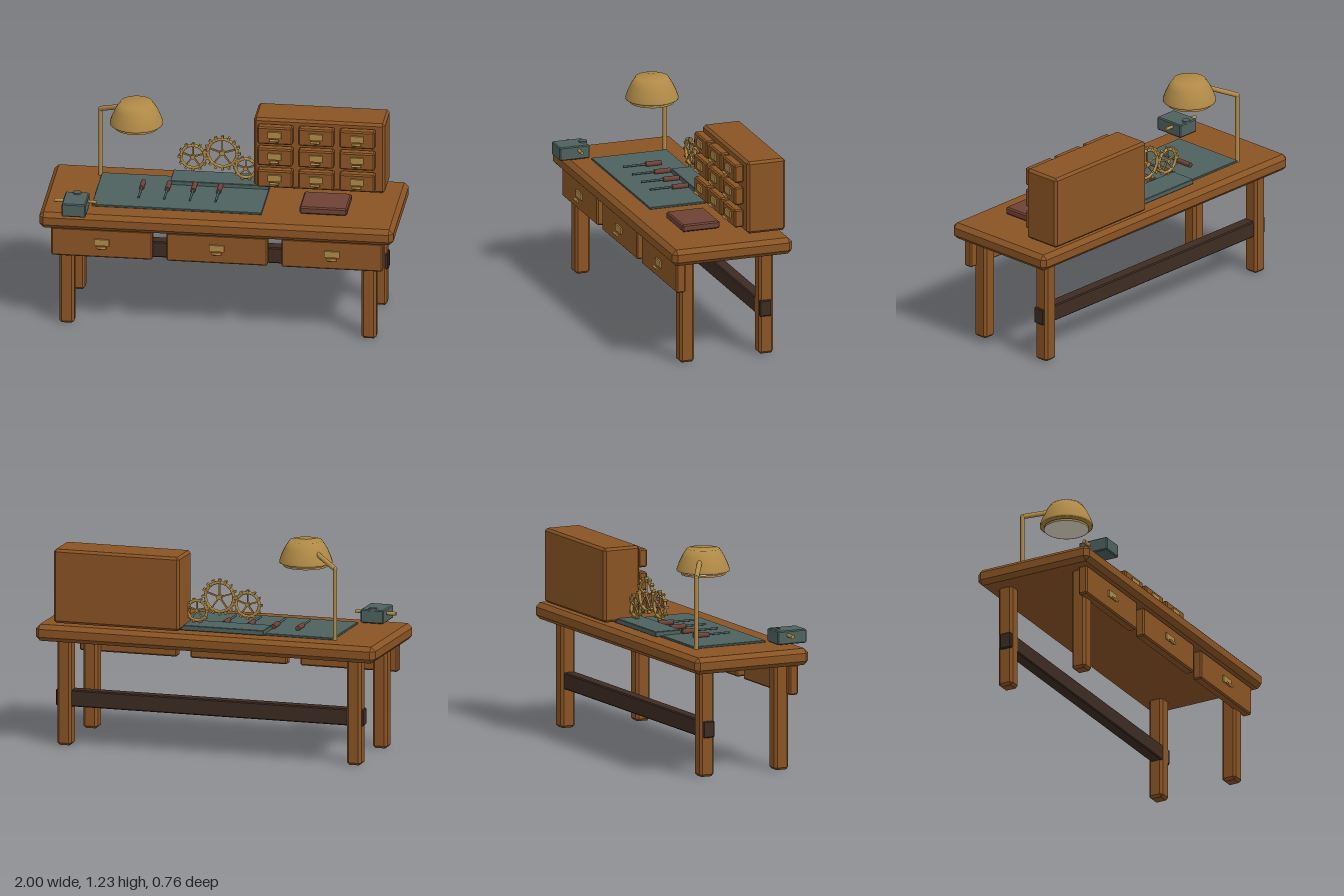
import * as THREE from 'three';
import { ConvexGeometry } from 'three/addons/geometries/ConvexGeometry.js';

const mat = (name, color) => {
  const m = new THREE.MeshStandardMaterial({ color });
  m.name = name;
  return m;
};

export function createModel() {
  const root = new THREE.Group();
  root.name = 'workbench';
  const wood = mat('wood', 0x8a5424);
  const darkWood = mat('dark wood', 0x3d2b22);
  const brass = mat('brass', 0xb08a47);
  const steel = mat('steel', 0x4e625e);
  const leather = mat('leather', 0x6e4236);
  const glow = mat('lamp glass', 0xf2ead6);
  const shadeBrass = mat('lamp shade brass', 0xb08a47);
  shadeBrass.side = THREE.DoubleSide;

  const add = (name, geo, material, parent = root) => {
    const m = new THREE.Mesh(geo, material);
    m.name = name;
    parent.add(m);
    return m;
  };
  const group = (name, x = 0, y = 0, z = 0) => {
    const g = new THREE.Group();
    g.name = name;
    g.position.set(x, y, z);
    root.add(g);
    return g;
  };

  // Box with chamfered edges, given by its extents
  const block = (name, [x0, x1], [y0, y1], [z0, z1], c, material, parent) => {
    const h = [(x1 - x0) / 2, (y1 - y0) / 2, (z1 - z0) / 2];
    const pts = [];
    for (const sx of [-1, 1]) for (const sy of [-1, 1]) for (const sz of [-1, 1]) {
      for (let full = 0; full < 3; full++) {
        const p = h.map((v, i) => (i === full ? v : v - c));
        pts.push(new THREE.Vector3(p[0] * sx, p[1] * sy, p[2] * sz));
      }
    }
    const m = add(name, new ConvexGeometry(pts), material, parent);
    m.position.set((x0 + x1) / 2, (y0 + y1) / 2, (z0 + z1) / 2);
    return m;
  };
  // Round bar between two points
  const bar = (name, a, b, r, material, parent, sides = 16) => {
    const p = new THREE.Vector3(...a), q = new THREE.Vector3(...b);
    const m = add(name, new THREE.CylinderGeometry(r, r, p.distanceTo(q), sides), material, parent);
    m.position.copy(p).add(q).multiplyScalar(0.5);
    m.quaternion.setFromUnitVectors(new THREE.Vector3(0, 1, 0), q.sub(p).normalize());
    return m;
  };

  // Table
  block('tableTop', [-1, 1], [0.604, 0.699], [-0.38, 0.335], 0.025, wood);
  for (const s of [-1, 1]) {
    for (const [name, z] of [['frontLeg', 0.214], ['backLeg', -0.257]]) {
      block(name, [s * 0.853 - 0.042, s * 0.853 + 0.042], [0, 0.615], [z - 0.044, z + 0.044], 0.014, wood);
    }
  }
  block('stretcher', [-0.905, 0.905], [0.223, 0.318], [-0.286, -0.215], 0.006, darkWood);

  // Drawer front with a label plate and a bar pull
  const drawer = (name, x, y, front, w, h, plateW, pullY) => {
    const g = group(name, x, y, front);
    block('drawerFront', [-w / 2, w / 2], [-h / 2, h / 2], [-0.055, 0], 0.008, wood, g);
    const plate = add('labelPlate', new THREE.BoxGeometry(plateW, 0.038, 0.009), brass, g);
    plate.position.set(0, pullY + 0.026, 0.0045);
    bar('pull', [-plateW * 0.33, pullY, 0.023], [plateW * 0.33, pullY, 0.023], 0.007, brass, g, 12);
  };
  for (const x of [-0.65, 0, 0.65]) drawer('benchDrawer', x, 0.515, 0.294, 0.572, 0.172, 0.086, -0.018);

  // Small-parts cabinet
  block('cabinet', [0.152, 0.892], [0.714, 1.137], [-0.372, -0.145], 0.014, wood);
  for (const y of [0.795, 0.927, 1.058]) {
    for (const x of [0.278, 0.51, 0.742]) drawer('cabinetDrawer', x, y, -0.086, 0.2, 0.104, 0.076, -0.018);
  }

  // Work mat, gear base plate and book
  block('workMat', [-0.718, 0.24], [0.699, 0.711], [-0.25, 0.2], 0.002, steel);
  block('gearBase', [-0.318, 0.24], [0.705, 0.734], [-0.288, -0.13], 0.003, steel);
  block('book', [0.452, 0.72], [0.709, 0.752], [-0.044, 0.18], 0.008, leather);

  // Screwdrivers
  for (let i = 0; i < 4; i++) {
    const x = -0.467 + i * 0.145;
    const g = group('screwdriver', x, 0.724, 0);
    bar('handle', [0, 0, -0.125], [0, 0, -0.032], 0.014, leather, g);
    bar('shank', [0, 0, -0.032], [0, 0, 0.1], 0.006, steel, g, 10);
  }

  // Spoked gears standing in a row
  const gear = (x, y, r, teeth, turn) => {
    const g = group('gear', x, y, -0.2);
    g.rotation.z = turn;
    const ring = r * 0.8;
    add('rim', new THREE.TorusGeometry(ring, 0.009, 8, 40), brass, g);
    const hub = add('hub', new THREE.CylinderGeometry(r * 0.15, r * 0.15, 0.024, 14), brass, g);
    hub.rotation.x = Math.PI / 2;
    for (let i = 0; i < teeth; i++) {
      const a = (i / teeth) * Math.PI * 2;
      const t = add('tooth', new THREE.BoxGeometry(r - ring, 0.013, 0.022), brass, g);
      t.position.set(Math.cos(a) * (r + ring) / 2, Math.sin(a) * (r + ring) / 2, 0);
      t.rotation.z = a;
    }
    for (let i = 0; i < 5; i++) {
      const a = Math.PI / 2 + (i / 5) * Math.PI * 2;
      const s = add('spoke', new THREE.BoxGeometry(ring, 0.008, 0.01), brass, g);
      s.position.set(Math.cos(a) * ring / 2, Math.sin(a) * ring / 2, 0);
      s.rotation.z = a;
    }
  };
  gear(-0.198, 0.858, 0.085, 12, 0);
  gear(-0.032, 0.89, 0.104, 16, 0);
  gear(0.1, 0.805, 0.071, 10, 0);

  // Lamp: post, bent arm, shade and glass
  const lamp = group('lamp');
  bar('post', [-0.725, 0.699, -0.24], [-0.725, 1.105, -0.24], 0.012, brass, lamp);
  const elbow = add('elbow', new THREE.SphereGeometry(0.013, 16, 10), brass, lamp);
  elbow.position.set(-0.725, 1.105, -0.24);
  bar('arm', [-0.725, 1.105, -0.24], [-0.545, 1.185, -0.12], 0.014, brass, lamp);
  const profile = [[0.143, 1.097], [0.149, 1.099], [0.149, 1.108], [0.136, 1.145], [0.118, 1.183], [0.092, 1.224], [0, 1.226]];
  const shade = add('shade', new THREE.LatheGeometry(profile.map(p => new THREE.Vector2(...p)), 32), shadeBrass, lamp);
  shade.position.set(-0.502, 0, -0.083);
  const rim = add('shadeUnderside', new THREE.CylinderGeometry(0.144, 0.144, 0.006, 32), brass, lamp);
  rim.position.set(-0.502, 1.1, -0.083);
  const glass = add('glass', new THREE.CylinderGeometry(0.125, 0.125, 0.008, 32), glow, lamp);
  glass.position.set(-0.502, 1.083, -0.083);
  const ring = add('glassRing', new THREE.CylinderGeometry(0.126, 0.126, 0.012, 32, 1, true), shadeBrass, lamp);
  ring.position.set(-0.502, 1.084, -0.083);

  // Vise at the front corner
  const vise = group('vise');
  block('viseBody', [-0.865, -0.73], [0.706, 0.784], [0.203, 0.383], 0.006, steel, vise);
  bar('viseHandle', [-0.92, 0.757, 0.268], [-0.68, 0.757, 0.268], 0.009, brass, vise);
  bar('viseHandleEnd', [-0.92, 0.757, 0.268], [-0.862, 0.757, 0.268], 0.011, brass, vise);
  bar('viseKnob', [-0.797, 0.77, 0.222], [-0.797, 0.792, 0.222], 0.023, steel, vise);

  return root;
}
